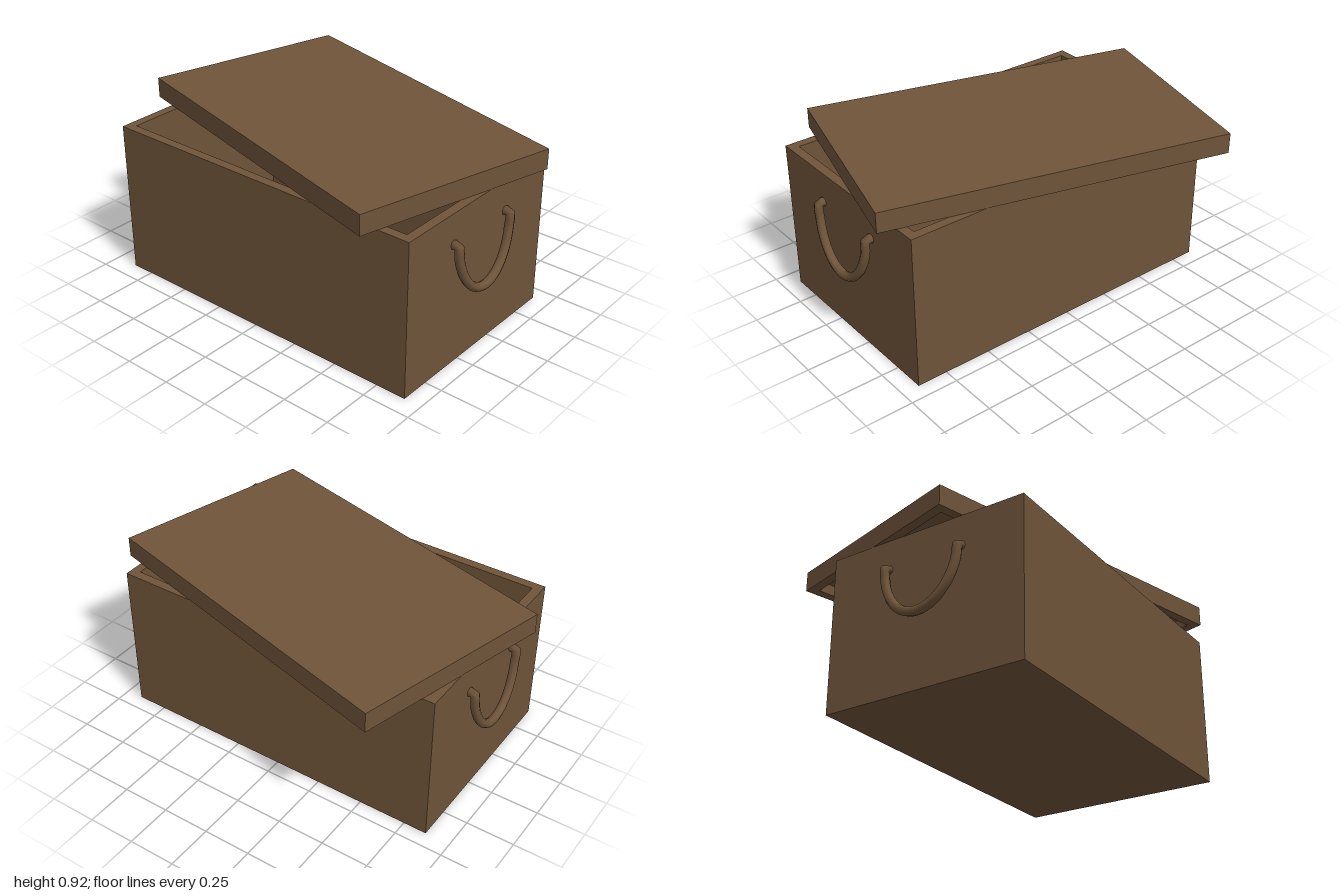
import * as THREE from 'three';

const wood = new THREE.MeshStandardMaterial({ color: 0x6f543a });
wood.name = 'brownWood';

const W = 1.075, L = 1.78, WALL = 0.048;

function add(parent, name, geometry, x = 0, y = 0, z = 0) {
  const mesh = new THREE.Mesh(geometry, wood);
  mesh.name = name;
  mesh.position.set(x, y, z);
  parent.add(mesh);
  return mesh;
}

// Rectangular frame of walls rising from y = 0
function frame(height) {
  const rect = (shape, w, l) => {
    shape.moveTo(-w / 2, -l / 2);
    shape.lineTo(w / 2, -l / 2);
    shape.lineTo(w / 2, l / 2);
    shape.lineTo(-w / 2, l / 2);
    shape.closePath();
    return shape;
  };
  const outline = rect(new THREE.Shape(), W, L);
  outline.holes.push(rect(new THREE.Path(), W - 2 * WALL, L - 2 * WALL));
  const g = new THREE.ExtrudeGeometry(outline, { depth: height, bevelEnabled: false });
  return g.rotateX(-Math.PI / 2);
}

// Hanging U handle whose ends run into the wall at local z = 0
function handleGeometry() {
  const pts = [new THREE.Vector3(-0.204, 0.645, -0.015)];
  const n = 12;
  for (let i = 0; i <= n; i++) {
    const a = (Math.PI * i) / n;
    pts.push(new THREE.Vector3(
      -0.205 * Math.cos(a),
      0.648 - 0.286 * Math.sin(a),
      0.026 + 0.02 * Math.sin(a)
    ));
  }
  pts.push(new THREE.Vector3(0.204, 0.645, -0.015));
  return new THREE.TubeGeometry(new THREE.CatmullRomCurve3(pts), 36, 0.023, 8);
}

export function createModel() {
  const model = new THREE.Group();
  model.name = 'crate';

  // Open box, set slightly off centre beneath the turned lid
  const box = new THREE.Group();
  box.name = 'box';
  box.position.set(-0.117, 0, 0.019);
  model.add(box);
  add(box, 'boxWalls', frame(0.808));
  add(box, 'boxFloor', new THREE.BoxGeometry(W - 2 * WALL, 0.05, L - 2 * WALL), 0, 0.025, 0);

  // Front and back handles
  for (const side of [1, -1]) {
    const handle = add(box, side > 0 ? 'frontHandle' : 'backHandle', handleGeometry(), 0, 0, side * L / 2);
    if (side < 0) handle.rotation.y = Math.PI;
  }

  // Lid with a shallow recess underneath
  const lid = new THREE.Group();
  lid.name = 'lid';
  lid.position.y = 0.81;
  lid.rotation.y = -Math.PI / 12;
  model.add(lid);
  add(lid, 'lidRim', frame(0.055));
  add(lid, 'lidPanel', new THREE.BoxGeometry(W, 0.05, L), 0, 0.08, 0);

  return model;
}
